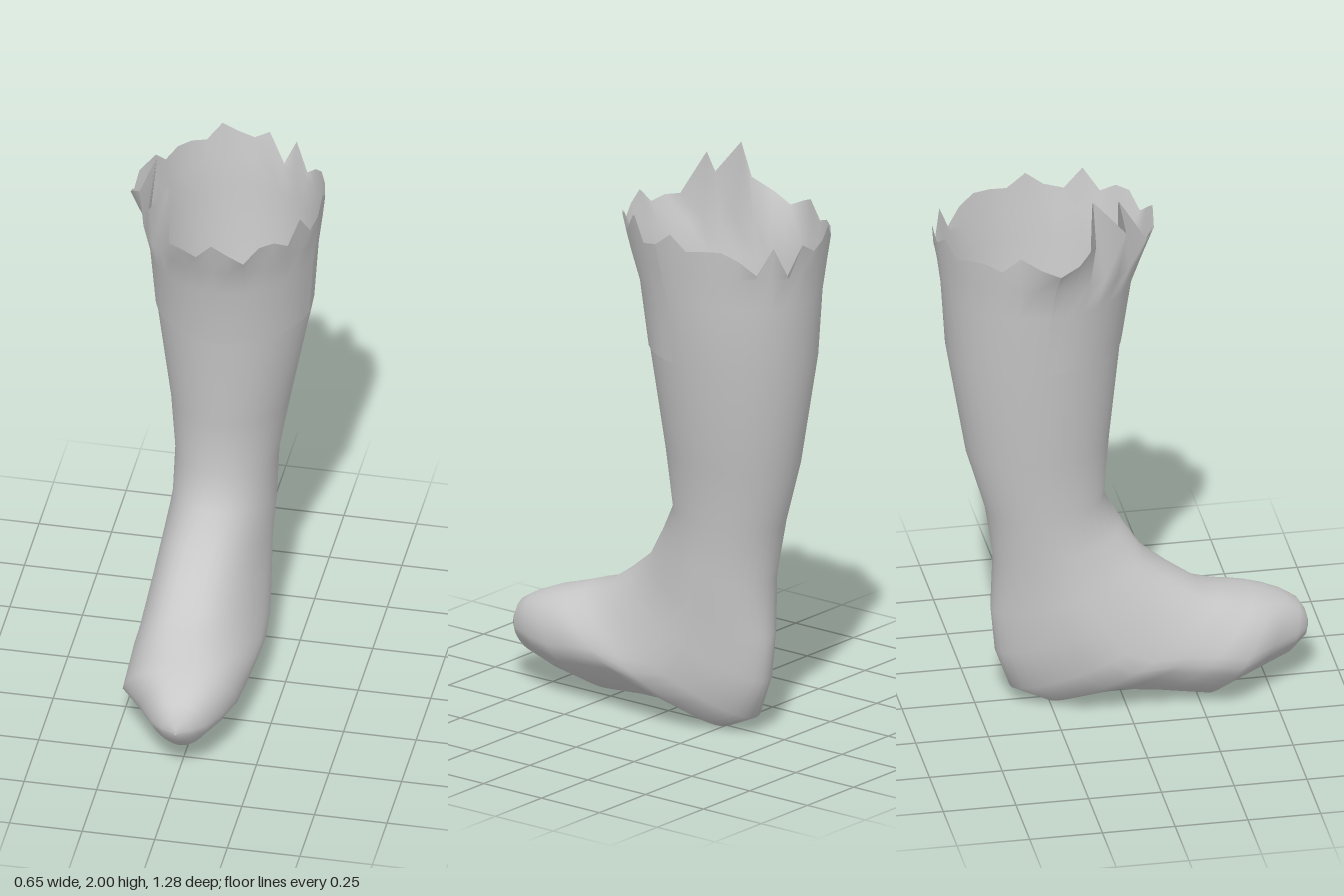
import * as THREE from 'three';

const SEG = 36; // points around each cross-section
const FOOT = 7; // first cross-section of the foot

// Cross-sections from rim to toe:
// front z, y | back z, y | right x, left x | x shift at the back/sole
const RINGS = [
  [0.11, 1.80, -0.64, 1.80, -0.295, 0.325, 0],
  [0.075, 1.71, -0.625, 1.70, -0.285, 0.315, 0],
  [0.035, 1.60, -0.61, 1.59, -0.265, 0.300, 0],
  [0.00, 1.37, -0.595, 1.36, -0.248, 0.283, 0],
  [-0.04, 1.00, -0.53, 0.97, -0.197, 0.210, 0],
  [-0.06, 0.78, -0.465, 0.75, -0.178, 0.172, 0],
  [0.00, 0.67, -0.435, 0.55, -0.185, 0.160, 0.02],
  [0.07, 0.56, -0.445, 0.36, -0.215, 0.145, 0.04],
  [0.16, 0.49, -0.430, 0.20, -0.235, 0.145, 0.05],
  [0.26, 0.42, -0.380, 0.06, -0.250, 0.155, 0.05],
  [0.34, 0.395, -0.26, 0.005, -0.250, 0.165, 0.04],
  [0.40, 0.375, -0.06, 0.045, -0.235, 0.185, 0],
  [0.45, 0.36, 0.10, 0.035, -0.220, 0.190, -0.03],
  [0.50, 0.345, 0.27, 0.015, -0.210, 0.185, -0.05],
  [0.56, 0.32, 0.43, 0.055, -0.145, 0.145, -0.02],
  [0.61, 0.29, 0.57, 0.10, -0.095, 0.095, 0],
  [0.635, 0.25, 0.63, 0.155, -0.050, 0.050, 0],
  [0.645, 0.21, 0.645, 0.19, -0.005, 0.005, 0],
];

// Torn rim: a small irregular zigzag with a few deep notches and tall tatters
const TATTERS = { 0: 1.84, 6: 1.86, 14: 1.72, 16: 1.7, 29: 1.86, 30: 2, 31: 1.87, 32: 1.96 };
const rimHeight = (k) =>
  TATTERS[k] ?? 1.8 + 0.025 * Math.sin(k * 2.3) + 0.015 * Math.sin(k * 5.1);

// Point on the shell; grow pushes it outwards
function shellPoint(row, j, grow) {
  const [fz, fy, bz, by, x0, x1, shift] = RINGS[row];
  const k = (j + SEG) % SEG;
  const t = (k / SEG) * Math.PI * 2;
  const c = Math.cos(t), s = Math.sin(t);
  let side = s, along = c;
  if (row >= FOOT) {
    // Full instep above, narrowing towards the heel and sole below
    side = Math.sign(s) * Math.pow(Math.abs(s), c > 0 ? 0.82 : 1) * (1 + 0.3 * Math.min(c, 0));
    along = c - 0.06 * s * s;
  }
  let x = (x0 + x1) / 2 + side * ((x1 - x0) / 2 + grow) + shift * (1 - c) / 2;
  let y = (fy + by) / 2 + along * (fy - by) / 2;
  let z = (fz + bz) / 2 + along * ((fz - bz) / 2 + grow);
  if (row === 0) {
    y = rimHeight(k);
    if (Math.abs(k - 27) < 2) x -= 0.03; // small bulge on the right of the rim
    if (y > 1.9) { // tall tatters lean inwards
      x *= 0.87;
      z -= 0.06;
    }
  }
  return [x, y, z];
}

// Skin rows 0..last over points j0..j1
function shell(last, j0, j1, grow) {
  const closed = j1 - j0 === SEG;
  const n = closed ? SEG : j1 - j0 + 1;
  const pos = [], idx = [];
  for (let r = 0; r <= last; r++)
    for (let j = 0; j < n; j++) pos.push(...shellPoint(r, j0 + j, grow));
  for (let r = 0; r < last; r++)
    for (let j = 0; j < (closed ? n : n - 1); j++) {
      const a = r * n + j, b = r * n + (j + 1) % n;
      idx.push(a, a + n, b, b, a + n, b + n);
    }
  const g = new THREE.BufferGeometry();
  g.setAttribute('position', new THREE.Float32BufferAttribute(pos, 3));
  g.setIndex(idx);
  g.computeVertexNormals();
  return g;
}

export function createModel() {
  const group = new THREE.Group();
  group.name = 'tornBoot';
  const grey = new THREE.MeshStandardMaterial({ color: 0xc8c8c8, side: THREE.DoubleSide });
  grey.name = 'grey';

  const add = (name, geometry) => {
    const m = new THREE.Mesh(geometry, grey);
    m.name = name;
    group.add(m);
  };

  // Shaft, ankle and foot in one hollow skin, open at the top
  add('bootShell', shell(RINGS.length - 1, 0, SEG, 0));
  // Overlapping cuff round the front of the shaft
  add('frontCuff', shell(3, -9, 8, 0.004));
  return group;
}
